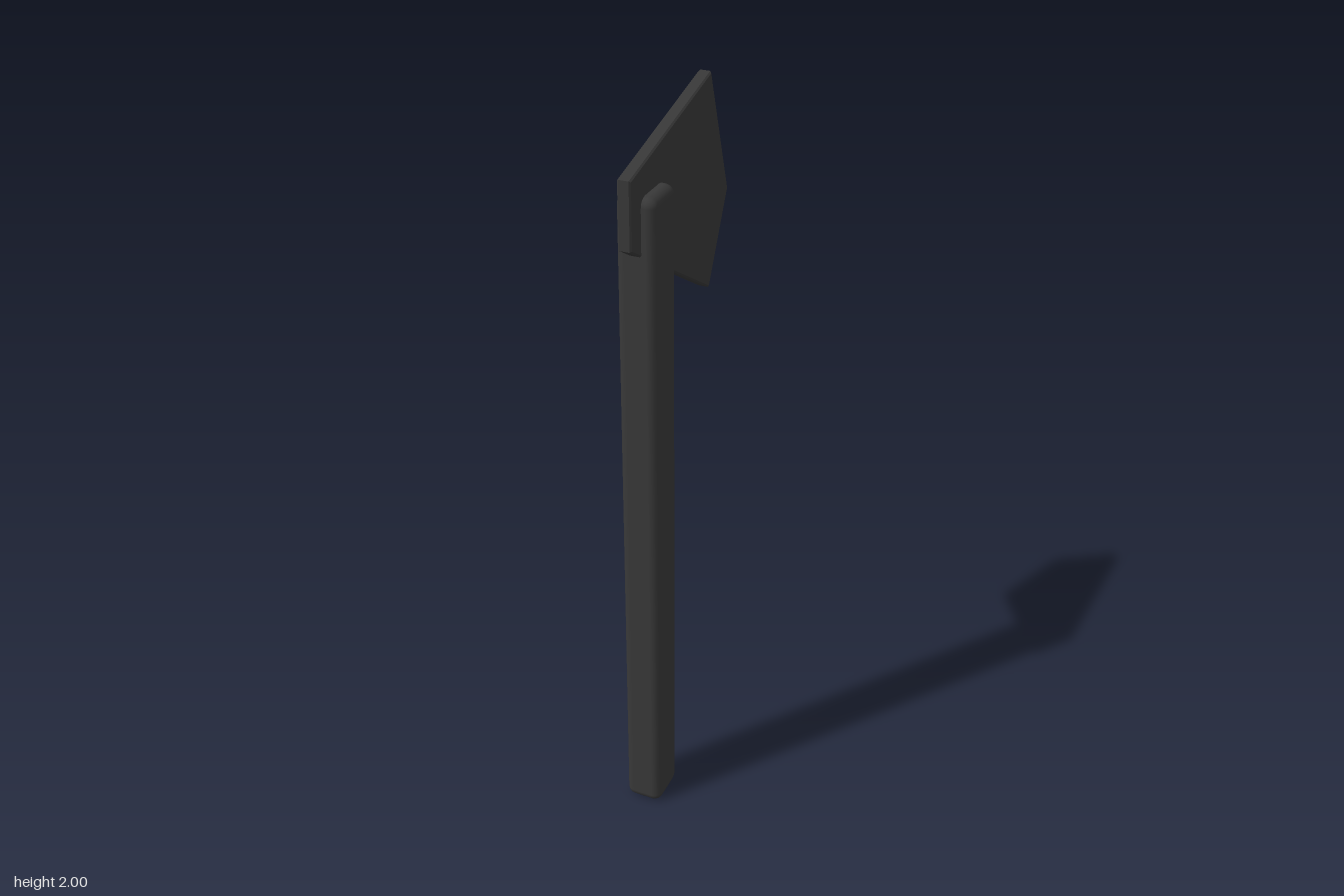
import * as THREE from 'three';
import { RoundedBoxGeometry } from 'three/addons/geometries/RoundedBoxGeometry.js';

export function createModel() {
  const model = new THREE.Group();
  model.name = 'axe';
  const charcoal = new THREE.MeshStandardMaterial({ color: 0x383838 });
  charcoal.name = 'charcoal';

  // Straight handle with softly rounded edges
  const handle = new THREE.Mesh(new RoundedBoxGeometry(0.102, 1.83, 0.126, 2, 0.024), charcoal);
  handle.name = 'handle';
  handle.position.set(0, 0.915, 0.17);
  model.add(handle);

  // Flat blade: side outline as (z, y), extruded across x with a fine bevel
  const outline = [[0.285, 1.72], [0.285, 1.89], [-0.17, 2], [-0.285, 1.665], [-0.17, 1.435]];
  const shape = new THREE.Shape(outline.map(([z, y]) => new THREE.Vector2(z, y)));
  const bevel = 0.004;
  const depth = 0.034 - 2 * bevel;
  const bladeGeometry = new THREE.ExtrudeGeometry(shape, {
    depth, bevelEnabled: true, bevelThickness: bevel, bevelSize: bevel, bevelOffset: -bevel, bevelSegments: 1,
  });
  bladeGeometry.translate(0, 0, -depth / 2);
  bladeGeometry.rotateY(-Math.PI / 2);
  const blade = new THREE.Mesh(bladeGeometry, charcoal);
  blade.name = 'blade';
  model.add(blade);

  return model;
}
